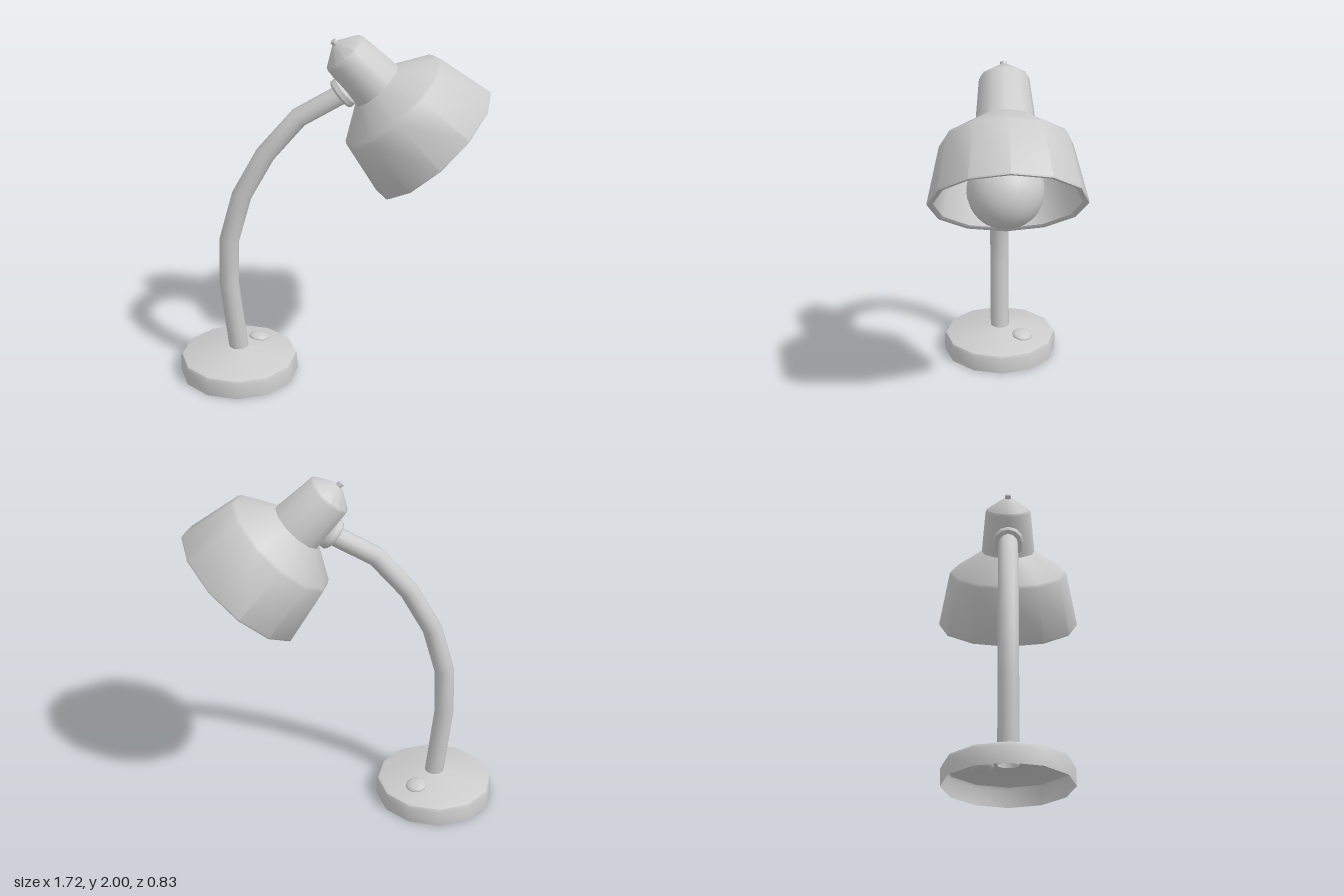
import * as THREE from 'three';
import { toCreasedNormals } from 'three/addons/utils/BufferGeometryUtils.js';

const material = new THREE.MeshStandardMaterial({ color: 0xcccccc, side: THREE.DoubleSide });

function addPart(parent, name, geometry, x = 0, y = 0, z = 0) {
  const mesh = new THREE.Mesh(geometry, material);
  mesh.name = name;
  mesh.position.set(x, y, z);
  parent.add(mesh);
  return mesh;
}

// Twelve-sided turned part from [radius, height] pairs
function turned(profile, sides = 12) {
  const points = profile.map(([r, y]) => new THREE.Vector2(r, y));
  return toCreasedNormals(new THREE.LatheGeometry(points, sides), 0.65);
}

// Tube whose rings sit exactly on the given points
function bentTube(points, radius, sides) {
  const curve = new THREE.CatmullRomCurve3(points.map(([x, y]) => new THREE.Vector3(x, y, 0)));
  curve.getPointAt = (u, target) => curve.getPoint(u, target);
  curve.getTangentAt = (u, target) => curve.getTangent(u, target);
  return new THREE.TubeGeometry(curve, points.length - 1, radius, sides);
}

export function createModel() {
  const lamp = new THREE.Group();
  lamp.name = 'deskLamp';

  // Hollow base, open underneath
  addPart(lamp, 'base', turned([
    [0.335, 0], [0.335, 0.09], [0.328, 0.107], [0.312, 0.115], [0.05, 0.16],
  ]), -0.525);

  // Flattened switch button on the sloping top
  const button = addPart(lamp, 'switchButton', new THREE.SphereGeometry(0.06, 16, 10), -0.41, 0.14, -0.13);
  button.scale.y = 0.42;
  button.rotation.set(-0.12, 0, -0.12);

  // Curved arm
  addPart(lamp, 'arm', bentTube([
    [-0.52, 0.11], [-0.568, 0.56], [-0.56, 0.832], [-0.485, 1.1],
    [-0.352, 1.34], [-0.168, 1.553], [0.1, 1.705],
  ], 0.055, 12));

  // Collar joining the arm to the side of the neck
  const collar = addPart(lamp, 'collar', turned([
    [0, 0], [0.08, 0], [0.09, 0.012], [0.09, 0.04], [0.075, 0.055], [0.075, 0.13],
  ]), 0.052, 1.678);
  collar.rotation.z = -0.88;

  // Tilted head: origin at the rim centre, local +y runs up to the cap
  const head = new THREE.Group();
  head.name = 'head';
  head.position.set(0.56, 1.4, 0);
  head.rotation.z = 0.755;
  lamp.add(head);

  addPart(head, 'shade', turned([
    [0.13, 0.43], [0.315, 0.315], [0.38, 0.008], [0.395, 0],
    [0.41, 0], [0.413, 0.008], [0.346, 0.32], [0.335, 0.338], [0.155, 0.456],
  ]));
  addPart(head, 'neck', turned([
    [0.158, 0.43], [0.155, 0.46], [0.132, 0.695], [0.125, 0.71], [0.03, 0.772], [0, 0.776],
  ]));
  addPart(head, 'capKnob', turned([[0.018, 0.755], [0.018, 0.795], [0, 0.802]], 8));

  // Bulb with its tapered stem running into the neck
  addPart(head, 'bulb', new THREE.SphereGeometry(0.2, 24, 16), -0.022, 0.084, 0.01);
  addPart(head, 'bulbStem', turned([[0.14, 0.22], [0.085, 0.31], [0.075, 0.5], [0, 0.5]]));

  return lamp;
}
